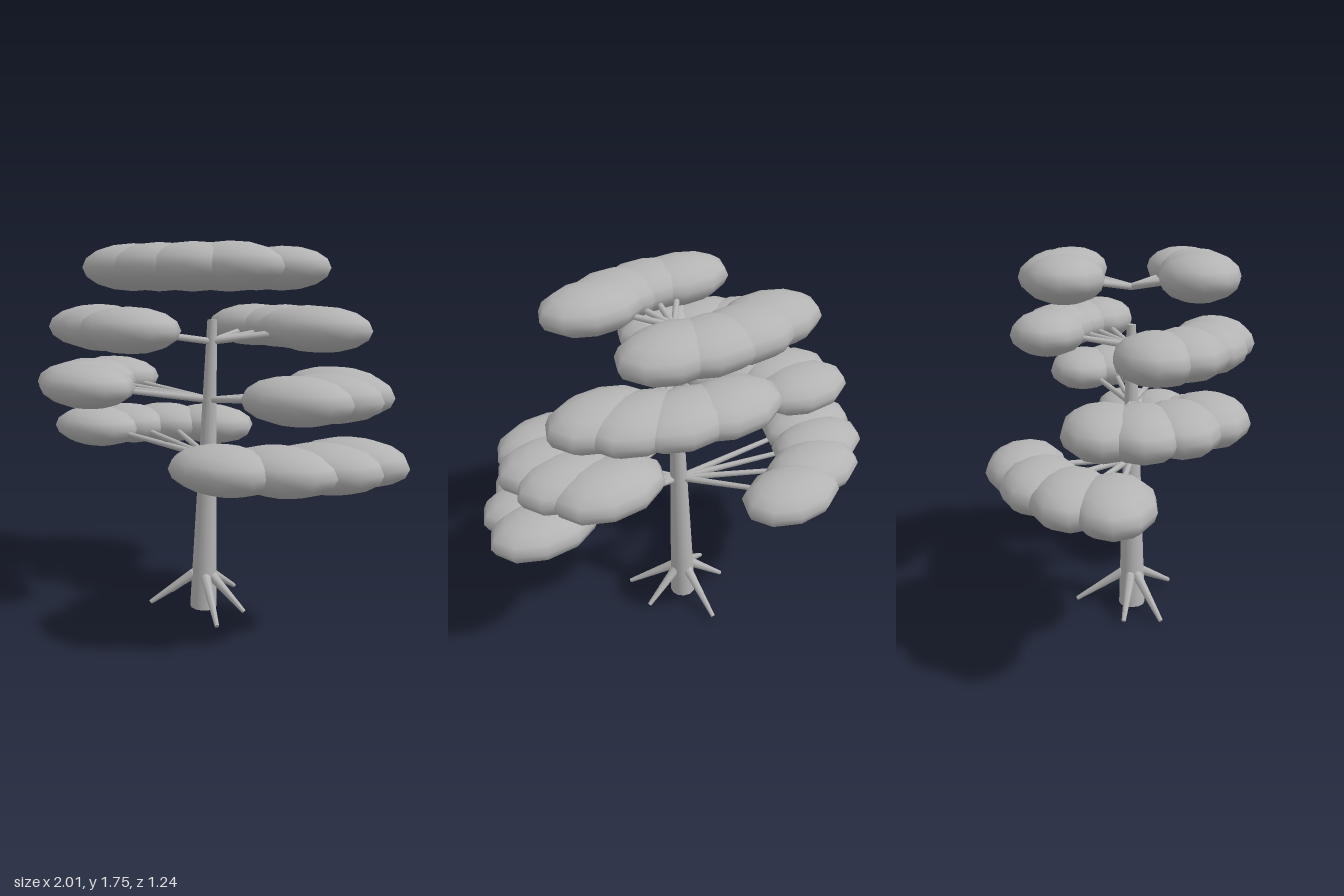
import * as THREE from 'three';

const TRUNK_BASE = new THREE.Vector3(-0.008, 0, 0.023);
const TRUNK_TOP = new THREE.Vector3(0.04, 1.41, 0.018);

// Each tier: height of the foliage, ring radius in z, and start angles of its two arcs
const TIERS = [
  { y: 0.824, ring: 0.5, arcs: [0, 188], cx: 0, cz: 0.01 },
  { y: 1.097, ring: 0.44, arcs: [-33, 134], cx: -0.005, cz: 0.01 },
  { y: 1.372, ring: 0.38, arcs: [-84, 105], cx: -0.015, cz: 0.01 },
  { y: 1.645, ring: 0.32, arcs: [240, 54], cx: 0.005, cz: 0.01 },
];
const STRETCH = 1.5; // the crown is wider in x than in z

export function createModel() {
  const tree = new THREE.Group();
  tree.name = 'tree';
  const grey = new THREE.MeshStandardMaterial({ color: 0xb4b4b4 });
  grey.name = 'plain grey';

  // Tapered limb between two points
  function limb(name, from, to, r0, r1, sides) {
    const dir = to.clone().sub(from);
    const mesh = new THREE.Mesh(new THREE.CylinderGeometry(r1, r0, dir.length(), sides), grey);
    mesh.name = name;
    mesh.position.copy(from).addScaledVector(dir, 0.5);
    mesh.quaternion.setFromUnitVectors(new THREE.Vector3(0, 1, 0), dir.normalize());
    return mesh;
  }

  tree.add(limb('trunk', TRUNK_BASE, TRUNK_TOP, 0.065, 0.022, 12));

  // Roots spreading from the foot of the trunk
  const rootEnds = [[0.22, 0.01], [0.2, 0.22], [-0.23, 0.16], [-0.23, -0.02], [0.0, -0.255]];
  for (const [x, z] of rootEnds) {
    const end = new THREE.Vector3(x, 0.015, z);
    const start = end.clone().sub(TRUNK_BASE).setY(0).setLength(0.05).add(TRUNK_BASE).setY(0.165);
    tree.add(limb('root', start, end, 0.025, 0.011, 8));
    const knob = new THREE.Mesh(new THREE.SphereGeometry(0.025, 8, 6), grey);
    knob.name = 'rootKnob';
    knob.position.copy(start);
    tree.add(knob);
  }

  // Tiers of branches, each ending in a flattened clump of leaves
  const clumpGeometry = new THREE.SphereGeometry(1, 10, 8).scale(0.257, 0.104, 0.178);
  for (const { y, ring, arcs, cx, cz } of TIERS) {
    const tier = new THREE.Group();
    tier.name = 'tier';
    const rootY = y - 0.062;
    const start = TRUNK_BASE.clone().lerp(TRUNK_TOP, Math.min(rootY / TRUNK_TOP.y, 1)).setY(rootY);
    for (const arc of arcs) {
      for (let i = 0; i < 4; i++) {
        const a = THREE.MathUtils.degToRad(arc + i * 20);
        const end = new THREE.Vector3(cx + ring * STRETCH * Math.cos(a), y, cz + ring * Math.sin(a));
        tier.add(limb('branch', start, end, 0.016, 0.011, 8));
        const clump = new THREE.Mesh(clumpGeometry, grey);
        clump.name = 'leafClump';
        clump.position.copy(end);
        tier.add(clump);
      }
    }
    tree.add(tier);
  }
  return tree;
}
